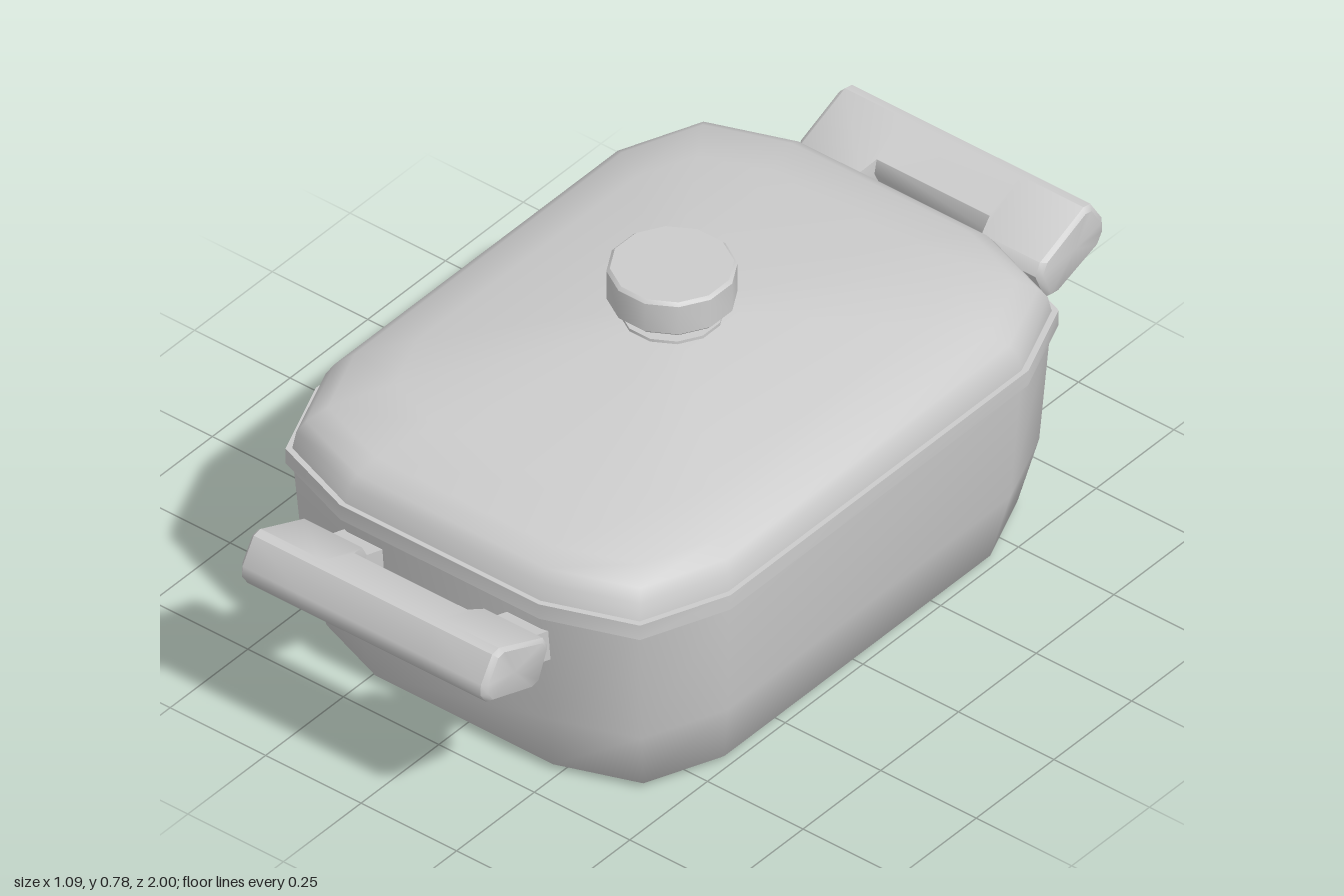
import * as THREE from 'three';
import { toCreasedNormals } from 'three/addons/utils/BufferGeometryUtils.js';

const material = new THREE.MeshStandardMaterial({ color: 0xcccccc, side: THREE.DoubleSide });

// Skin a list of equal-length closed cross-sections, with optional end caps.
function loft(sections, capStart, capEnd, crease = 1.0) {
  const n = sections[0].length;
  const pos = sections.flat().flatMap((p) => [p.x, p.y, p.z]);
  const index = [];
  for (let i = 0; i < sections.length - 1; i++) {
    for (let j = 0; j < n; j++) {
      const a = i * n + j, b = i * n + (j + 1) % n;
      index.push(a, b, b + n, a, b + n, a + n);
    }
  }
  const cap = (s, flip) => {
    const c = new THREE.Vector3();
    sections[s].forEach((p) => c.addScaledVector(p, 1 / n));
    const k = pos.length / 3;
    pos.push(c.x, c.y, c.z);
    for (let j = 0; j < n; j++) {
      const a = s * n + j, b = s * n + (j + 1) % n;
      index.push(k, flip ? b : a, flip ? a : b);
    }
  };
  if (capStart) cap(0, true);
  if (capEnd) cap(sections.length - 1, false);
  const geo = new THREE.BufferGeometry();
  geo.setAttribute('position', new THREE.Float32BufferAttribute(pos, 3));
  geo.setIndex(index);
  return toCreasedNormals(geo, crease);
}

// Twelve-sided rounded rectangle at height y with half-sizes rx, rz.
function ring([rx, rz, y]) {
  const q = [[0.48, 1], [0.855, 0.9], [1, 0.64]];
  const right = [...q, ...q.map(([x, z]) => [x, -z]).reverse()];
  const left = right.map(([x, z]) => [-x, -z]);
  return [...right, ...left].map(([x, z]) => new THREE.Vector3(x * rx, y, z * rz));
}

function add(parent, name, geo) {
  const mesh = new THREE.Mesh(geo, material);
  mesh.name = name;
  parent.add(mesh);
  return mesh;
}

function createHandle() {
  const handle = new THREE.Group();

  // Grip: tilted profile [z, y], thinner in the middle to leave finger room
  const full = [[0.785, 0.43], [0.80, 0.458], [0.94, 0.516], [0.962, 0.512], [0.998, 0.455],
    [1.0, 0.43], [0.982, 0.403], [0.84, 0.355], [0.815, 0.36]];
  const thin = full.map((p) => [...p]);
  thin[0] = [0.833, 0.44];
  thin[1] = [0.84, 0.474];
  thin[7] = [0.885, 0.37];
  thin[8] = [0.865, 0.375];
  const section = (x, profile, s = 1) => profile.map(([z, y]) =>
    new THREE.Vector3(x, 0.436 + (y - 0.436) * s, 0.895 + (z - 0.895) * s));
  add(handle, 'grip', loft([
    section(-0.322, full, 0.88), section(-0.312, full), section(-0.16, full),
    section(-0.148, thin), section(0.148, thin),
    section(0.16, full), section(0.312, full), section(0.322, full, 0.88),
  ], true, true, 0.75));

  // Hollow brackets joining the grip to the wall
  const slice = (x, z, y0, y1) => [[x - 0.052, y0], [x + 0.052, y0], [x + 0.052, y1], [x - 0.052, y1]]
    .map(([px, py]) => new THREE.Vector3(px, py, z));
  for (const x of [-0.215, 0.215]) {
    add(handle, 'bracket', loft([slice(x, 0.715, 0.33, 0.405), slice(x, 0.83, 0.367, 0.442)], false, false, 0.5));
  }
  return handle;
}

export function createModel() {
  const model = new THREE.Group();
  model.name = 'casserole';

  // Open-bottomed pot wall
  add(model, 'pot', loft([
    [0.468, 0.652, 0], [0.485, 0.668, 0.014], [0.516, 0.71, 0.165], [0.531, 0.735, 0.455],
  ].map(ring)));

  // Band between pot and lid
  add(model, 'rim', loft([
    [0.525, 0.728, 0.45], [0.543, 0.748, 0.45], [0.543, 0.748, 0.487], [0.53, 0.735, 0.487],
  ].map(ring)));

  // Domed lid
  add(model, 'lid', loft([
    [0.532, 0.737, 0.485], [0.527, 0.728, 0.525], [0.512, 0.71, 0.55], [0.48, 0.67, 0.577],
    [0.385, 0.54, 0.607], [0.1, 0.13, 0.66],
  ].map(ring), false, true));

  // Knob with base flange and neck
  const profile = [[0.107, 0.645], [0.107, 0.667], [0.083, 0.667], [0.083, 0.7], [0.128, 0.7],
    [0.134, 0.706], [0.134, 0.776], [0.127, 0.783], [0, 0.783]];
  const lathe = new THREE.LatheGeometry(profile.map(([r, y]) => new THREE.Vector2(r, y)), 12);
  lathe.rotateY(Math.PI / 12);
  add(model, 'knob', toCreasedNormals(lathe, 0.7));

  // Handles at both ends
  ['frontHandle', 'backHandle'].forEach((name, i) => {
    const handle = createHandle();
    handle.name = name;
    handle.rotation.y = i * Math.PI;
    model.add(handle);
  });
  return model;
}
